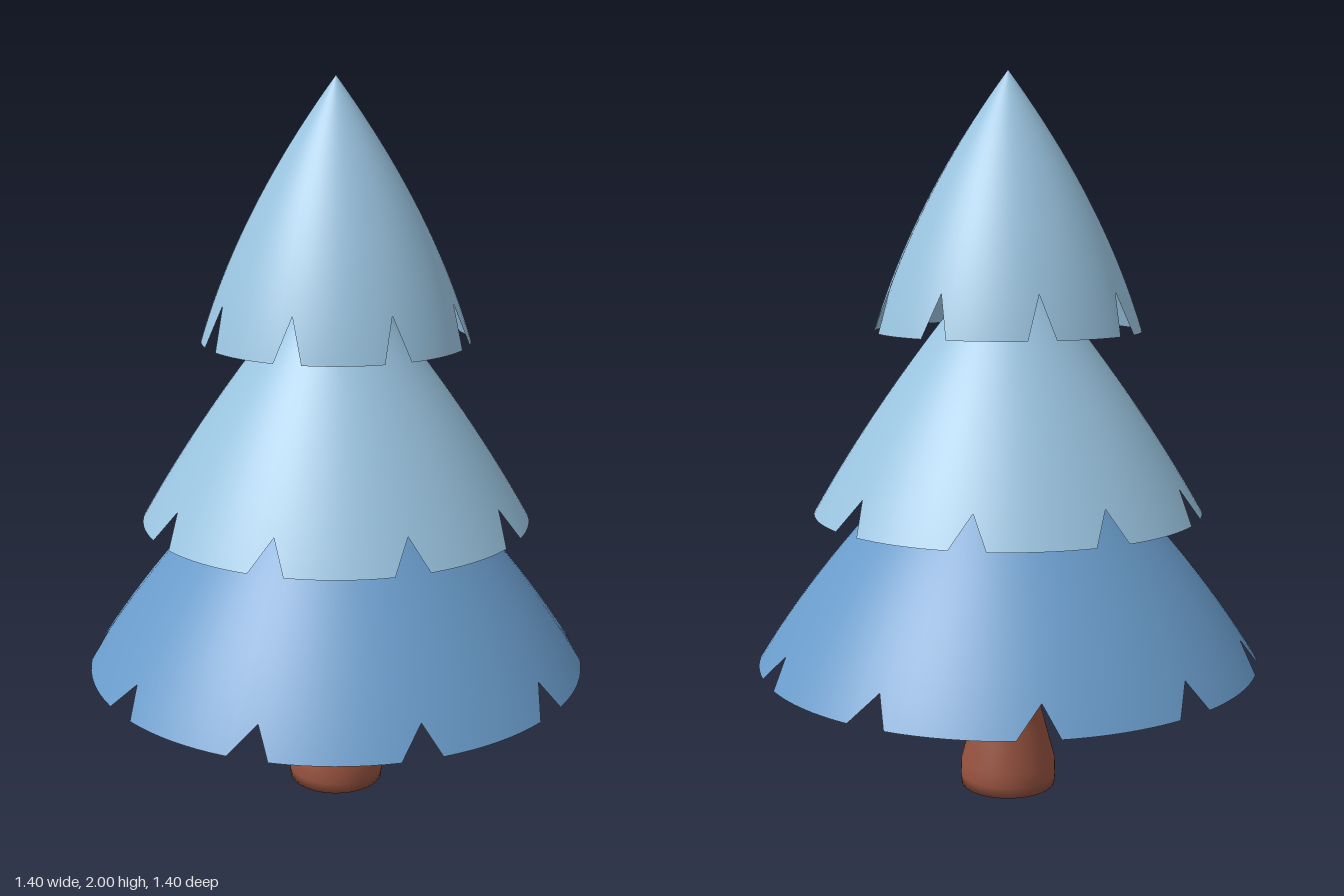
import * as THREE from 'three';

const lightFoliage = new THREE.MeshStandardMaterial({ name: 'light blue foliage', color: 0x9ac4e0, side: THREE.DoubleSide });
const deepFoliage = new THREE.MeshStandardMaterial({ name: 'deep blue foliage', color: 0x6a9ccb, side: THREE.DoubleSide });
const bark = new THREE.MeshStandardMaterial({ name: 'reddish bark', color: 0x96523f });

// Open bulging cone whose rim is cut by evenly spaced triangular notches.
// notch = [start, tip, end] in degrees, relative to each notch's centre.
function foliageTier(name, material, { top, base, radius, bulge, count, offset, notch, tipY }) {
  const columns = [];
  const step = 360 / count;
  const fill = 8;
  for (let k = 0; k < count; k++) {
    const centre = offset + k * step;
    columns.push([centre + notch[0], base], [centre + notch[1], tipY]);
    const gap = step - notch[2] + notch[0];
    for (let i = 0; i < fill; i++) columns.push([centre + notch[2] + (gap * i) / fill, base]);
  }

  const rows = 20;
  const height = top - base;
  const positions = [], normals = [], index = [];
  columns.forEach(([degrees, rimY], c) => {
    const a = THREE.MathUtils.degToRad(degrees);
    for (let j = 0; j <= rows; j++) {
      const s = ((top - rimY) / height) * (j / rows);
      const r = radius * (s + bulge * s * (1 - s));
      const slope = (radius * (1 + bulge * (1 - 2 * s))) / height;
      const len = Math.hypot(1, slope);
      positions.push(r * Math.cos(a), top - s * height, r * Math.sin(a));
      normals.push(Math.cos(a) / len, slope / len, Math.sin(a) / len);
      if (j === rows) continue;
      const p = c * (rows + 1) + j;
      const q = ((c + 1) % columns.length) * (rows + 1) + j;
      index.push(p, q + 1, p + 1);
      if (j > 0) index.push(p, q, q + 1);
    }
  });

  const geometry = new THREE.BufferGeometry();
  geometry.setAttribute('position', new THREE.Float32BufferAttribute(positions, 3));
  geometry.setAttribute('normal', new THREE.Float32BufferAttribute(normals, 3));
  geometry.setIndex(index);
  const mesh = new THREE.Mesh(geometry, material);
  mesh.name = name;
  return mesh;
}

// Flared foot narrowing into a slim stem hidden inside the tiers
function trunk() {
  const profile = [
    [0, 0], [0.134, 0], [0.136, 0.03], [0.135, 0.07],
    [0.108, 0.17], [0.08, 0.28], [0.075, 0.38], [0.063, 0.8], [0.04, 1.6], [0, 1.6],
  ].map(([x, y]) => new THREE.Vector2(x, y));
  const mesh = new THREE.Mesh(new THREE.LatheGeometry(profile, 40), bark);
  mesh.name = 'trunk';
  return mesh;
}

export function createModel() {
  const tree = new THREE.Group();
  tree.name = 'tree';
  tree.add(
    trunk(),
    foliageTier('lowerFoliage', deepFoliage, {
      top: 1.17, base: 0.38, radius: 0.7, bulge: 0.3,
      count: 10, offset: 0, notch: [-3.2, 0.2, 5.8], tipY: 0.455,
    }),
    foliageTier('middleFoliage', lightFoliage, {
      top: 1.55, base: 0.8, radius: 0.54, bulge: 0.21,
      count: 9, offset: 33, notch: [-4, 0.5, 6.3], tipY: 0.885,
    }),
    foliageTier('upperFoliage', lightFoliage, {
      top: 2, base: 1.3, radius: 0.368, bulge: 0.42,
      count: 8, offset: 29.5, notch: [-5.8, 0, 6], tipY: 1.415,
    }),
  );
  return tree;
}
